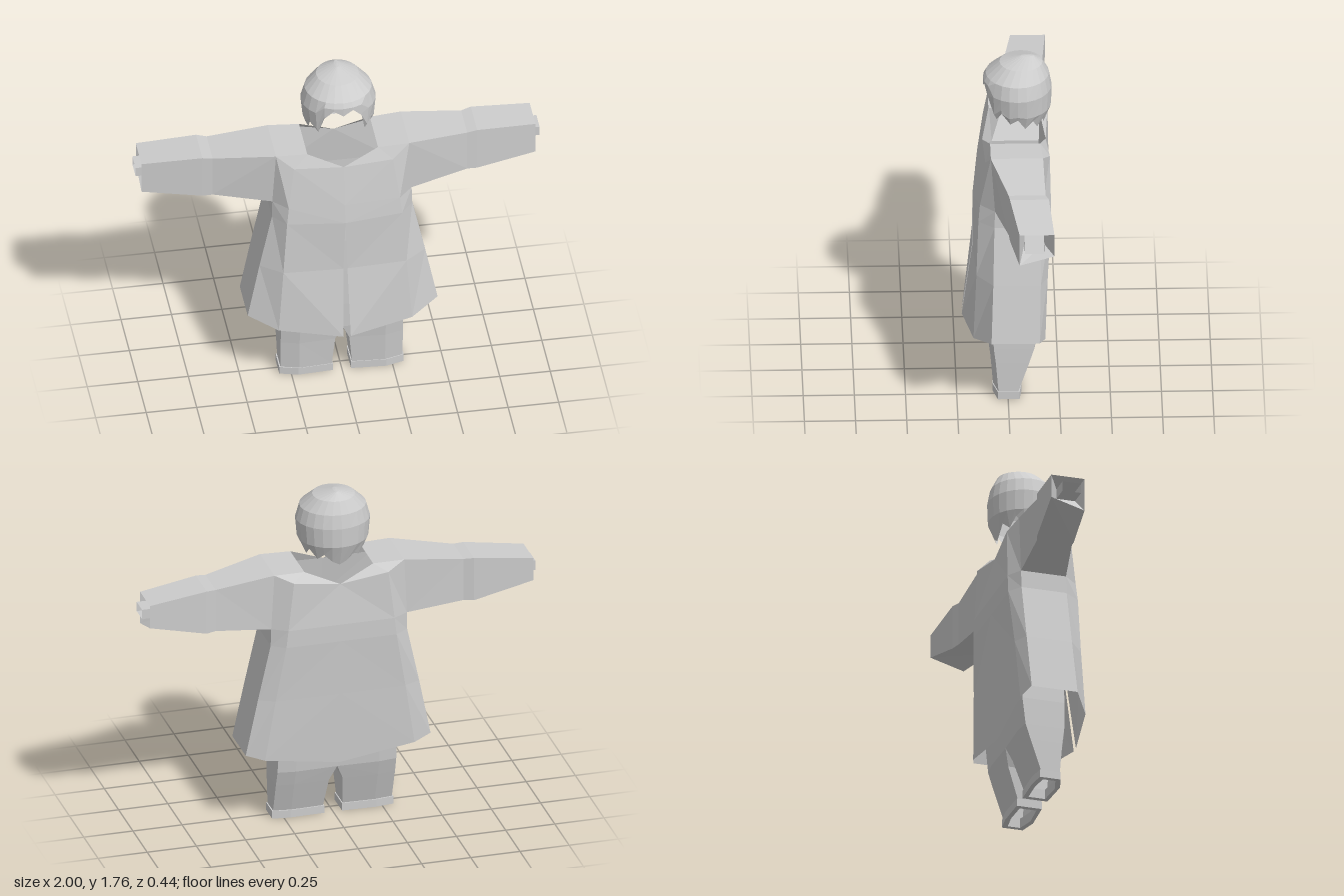
import * as THREE from 'three';

const cloth = new THREE.MeshStandardMaterial({ color: 0xcccccc, side: THREE.DoubleSide, flatShading: true });
cloth.name = 'pale grey';

// Faceted surface through rows of [x, y, z] points; mirror flips it to the other side.
function loft(rows, { closed = false, mirror = false, skip = () => false } = {}) {
  const pos = [];
  const put = (...pts) => {
    if (mirror) pts.reverse();
    for (const [x, y, z] of pts) pos.push(mirror ? -x : x, y, z);
  };
  for (let r = 0; r < rows.length - 1; r++) {
    const n = rows[r].length;
    for (let k = 0; k < (closed ? n : n - 1); k++) {
      if (skip(r, k)) continue;
      const j = (k + 1) % n;
      const [a, b, c, d] = [rows[r][k], rows[r][j], rows[r + 1][j], rows[r + 1][k]];
      put(a, b, c);
      put(a, c, d);
    }
  }
  const g = new THREE.BufferGeometry();
  g.setAttribute('position', new THREE.Float32BufferAttribute(pos, 3));
  g.computeVertexNormals();
  return g;
}

function add(group, name, rows, options) {
  const mesh = new THREE.Mesh(loft(rows, options), cloth);
  mesh.name = name;
  group.add(mesh);
}

function createCoatHalf(group, side, mirror) {
  // Rows run from front centre round the side to back centre, hem upwards
  const neckFront = [0, 1.29, 0.12], neckBack = [0, 1.29, -0.19];
  const chest = [0.245, 1.3, 0.11], blade = [0.24, 1.33, -0.205];
  const tipFront = [0.33, 1.37, 0.085], tipBack = [0.33, 1.37, -0.17];
  const collarFront = [0.175, 1.365, 0.085], collarBack = [0.175, 1.365, -0.16];
  const armFront = [0.345, 1.08, 0.065], armBack = [0.345, 1.08, -0.165];
  const body = [
    [[0.018, 0.32, 0.22], [0.33, 0.36, 0.17], [0.47, 0.405, 0.085], [0.47, 0.405, -0.15], [0.38, 0.38, -0.18], [0, 0.32, -0.175]],
    [[0.01, 0.7, 0.168], [0.305, 0.7, 0.155], [0.41, 0.7, 0.075], [0.41, 0.7, -0.157], [0.33, 0.7, -0.193], [0, 0.7, -0.195]],
    [[0, 0.98, 0.168], [0.285, 0.99, 0.145], [0.347, 0.99, 0.068], [0.347, 0.99, -0.163], [0.28, 0.99, -0.21], [0, 0.99, -0.21]],
    [[0, 1.08, 0.155], [0.275, 1.08, 0.137], armFront, armBack, [0.27, 1.08, -0.21], [0, 1.08, -0.21]],
    [neckFront, chest, tipFront, tipBack, blade, neckBack],
  ];
  // The side quad of the top row is left open for the arm
  add(group, side + 'CoatBody', body, { mirror, skip: (r, k) => r === 3 && k === 2 });
  add(group, side + 'Shoulder', [
    [neckFront, chest, tipFront, tipBack, blade, neckBack],
    [neckFront, collarFront, collarFront, collarBack, collarBack, neckBack],
  ], { mirror });

  // Sleeve rings: top back, top front, bottom front, bottom back
  const ring = (x, top, low, lowBack, front, back) =>
    [[x, top, back], [x, top, front], [x, low, front], [x, lowBack, back]];
  add(group, side + 'Sleeve', [
    [tipBack, tipFront, armFront, armBack],
    ring(0.63, 1.335, 1.113, 1.113, 0.005, -0.175),
    ring(0.68, 1.34, 1.108, 1.112, 0, -0.19),
    ring(0.975, 1.31, 1.14, 1.19, -0.04, -0.21),
  ], { closed: true, mirror });
  // Lining narrows inwards, then returns as a small open wrist tube
  add(group, side + 'Wrist', [
    ring(0.975, 1.31, 1.14, 1.19, -0.04, -0.21),
    ring(0.9, 1.27, 1.22, 1.22, -0.065, -0.16),
    ring(1.0, 1.27, 1.22, 1.22, -0.065, -0.16),
  ], { closed: true, mirror });
}

function createLeg(group, side, mirror) {
  // Each ring: inner front, front, outer front, outer back, back, inner back
  const ring = (y, inner, outer, front, back) => [
    [inner, y, front - 0.01], [outer - 0.09, y, front], [outer, y, front - 0.025],
    [outer, y, back + 0.012], [outer - 0.09, y, back], [inner, y, back + 0.005]];
  add(group, side + 'Trouser', [
    ring(0.04, 0.05, 0.302, 0.072, -0.062),
    ring(0.2, 0.035, 0.303, 0.085, -0.115),
    ring(0.28, 0, 0.302, 0.095, -0.14),
    ring(0.42, 0, 0.298, 0.098, -0.155),
    ring(0.62, 0, 0.28, 0.095, -0.155),
  ], { closed: true, mirror });
  // Cuff with a narrow rim turned inside
  add(group, side + 'Cuff', [
    ring(0.05, 0.07, 0.285, 0.055, -0.045),
    ring(0, 0.07, 0.285, 0.055, -0.045),
    ring(0, 0.045, 0.308, 0.075, -0.068),
    ring(0.04, 0.045, 0.308, 0.075, -0.068),
    ring(0.04, 0.05, 0.302, 0.072, -0.062),
  ], { closed: true, mirror });
}

function createHair(group) {
  // Lock tip heights from the front centre round to the nape
  const tips = [1.6, 1.63, 1.58, 1.47, 1.52, 1.46, 1.49, 1.43, 1.47, 1.42, 1.45, 1.41, 1.39];
  const levels = [ // height, half width, half depth, centre z
    [1.6, 0.185, 0.168, -0.052],
    [1.67, 0.165, 0.155, -0.052],
    [1.73, 0.105, 0.105, -0.07],
    [1.762, 0.012, 0.03, -0.1],
  ];
  const n = 24;
  const point = (k, y, rx, rz, cz) => {
    const a = (k / n) * Math.PI * 2;
    return [Math.sin(a) * rx, y, cz + Math.cos(a) * rz];
  };
  const row = f => Array.from({ length: n }, (_, k) => f(k, tips[Math.min(k, n - k)], Math.min(k, n - k)));
  // Locks lean inwards towards the neck
  const tipRow = row((k, t) => {
    const s = 1 - Math.max(0, 1.55 - t) * 1.6;
    return point(k, t, 0.185 * s, 0.168 * s, -0.052);
  });
  const midRow = row((k, t, i) => i < 3
    ? point(k, t + 0.01, 0.185, 0.168, -0.052)
    : point(k, Math.max(1.5, t + 0.02), 0.176, 0.165, -0.052));
  const upper = levels.map(([y, rx, rz, cz], l) =>
    row((k, t, i) => point(k, y + (l === 0 && i < 3 ? 0.045 : 0), rx, rz, cz)));
  add(group, 'hairShell', [tipRow, midRow, ...upper], { closed: true });
  add(group, 'hairCrown', [upper[3], row(() => [0, 1.764, -0.1])], { closed: true });
}

export function createModel() {
  const model = new THREE.Group();
  model.name = 'outfit';
  const part = (name) => {
    const g = new THREE.Group();
    g.name = name;
    model.add(g);
    return g;
  };
  const coat = part('coat'), trousers = part('trousers');
  for (const [side, mirror] of [['left', false], ['right', true]]) {
    createCoatHalf(coat, side, mirror);
    createLeg(trousers, side, mirror);
  }
  createHair(part('hair'));
  return model;
}
